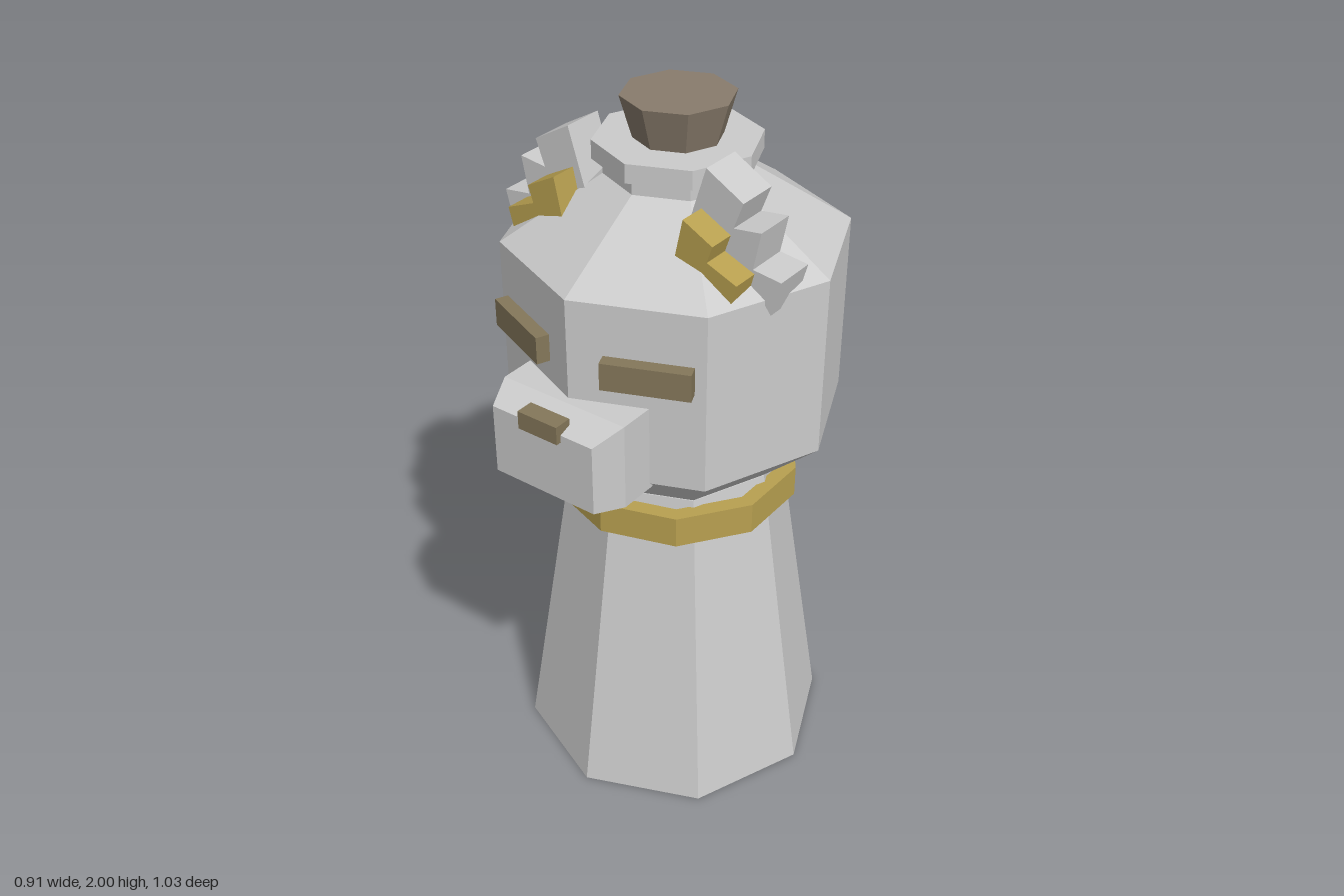
import * as THREE from 'three';

const AXIS_Z = -0.06;

const material = (color) => new THREE.MeshStandardMaterial({ color, flatShading: true });

export function createModel() {
  const model = new THREE.Group();
  const grey = material(0xcccccc);
  const gold = material(0xb8a050);
  const brown = material(0x897c6c);
  const darkBrown = material(0x84775a);

  const add = (name, geometry, mat, x = 0, y = 0, z = 0) => {
    const mesh = new THREE.Mesh(geometry, mat);
    mesh.name = name;
    mesh.position.set(x, y, z);
    model.add(mesh);
    return mesh;
  };

  // Faceted solid of revolution from [radius, height] pairs
  const turned = (name, profile, sides, mat) => {
    const points = profile.map(([r, y]) => new THREE.Vector2(r, y));
    return add(name, new THREE.LatheGeometry(points, sides), mat, 0, 0, AXIS_Z);
  };

  // Main stacked forms
  turned('body', [[0, 0], [0.445, 0], [0.293, 0.98], [0, 0.98]], 8, grey);
  turned('head', [[0, 0.98], [0.29, 0.98], [0.455, 1.13], [0.455, 1.63], [0.19, 1.8], [0, 1.8]], 8, grey);
  turned('crownNeck', [[0, 1.78], [0.19, 1.78], [0.19, 1.84], [0, 1.84]], 8, grey);
  turned('crownRim', [[0, 1.84], [0.217, 1.84], [0.217, 1.89], [0, 1.89]], 8, grey);
  turned('stopper', [[0, 1.88], [0.112, 1.88], [0.147, 2], [0, 2]], 8, brown);
  turned('collar', [[0.3, 0.87], [0.345, 0.87], [0.345, 0.96], [0.3, 0.96], [0.3, 0.87]], 10, gold);

  // Muzzle: a box whose front end tapers
  const muzzle = new THREE.BoxGeometry(0.38, 0.24, 0.2, 1, 1, 2);
  const p = muzzle.attributes.position;
  for (let i = 0; i < p.count; i++) {
    const z = p.getZ(i);
    if (z > 0.05) {
      p.setXYZ(i, Math.sign(p.getX(i)) * 0.157, p.getY(i) > 0 ? 0.09 : -0.105, 0.095);
    } else if (z > -0.05) {
      p.setZ(i, 0.01);
    }
  }
  add('muzzle', muzzle, grey, 0, 1.235, 0.405);
  add('nose', new THREE.BoxGeometry(0.122, 0.05, 0.05), darkBrown, 0, 1.33, 0.49);

  // Stepped crest outlines, drawn for the left side
  const crest = [
    [0.207, 1.92], [0.313, 1.86], [0.287, 1.79], [0.365, 1.8], [0.345, 1.7],
    [0.425, 1.69], [0.4, 1.595], [0.365, 1.64], [0.25, 1.68], [0.16, 1.77],
  ];
  const horn = [[0.195, 1.815], [0.28, 1.77], [0.265, 1.725], [0.35, 1.69], [0.335, 1.635], [0.17, 1.7]];

  const slab = (outline, side, depth) => {
    const shape = new THREE.Shape(outline.map(([x, y]) => new THREE.Vector2(side * x, y)));
    return new THREE.ExtrudeGeometry(shape, { depth, bevelEnabled: false });
  };

  for (const side of [1, -1]) {
    const prefix = side > 0 ? 'left' : 'right';
    const eye = add(prefix + 'Eye', new THREE.BoxGeometry(0.228, 0.075, 0.07), darkBrown, side * 0.19, 1.452, 0.318);
    eye.rotation.y = side * Math.PI / 8;
    add(prefix + 'Crest', slab(crest, side, 0.117), grey, 0, 0, -0.002);
    add(prefix + 'CrestTrim', slab(horn, side, 0.08), gold, 0, 0, 0.11);
  }

  return model;
}
